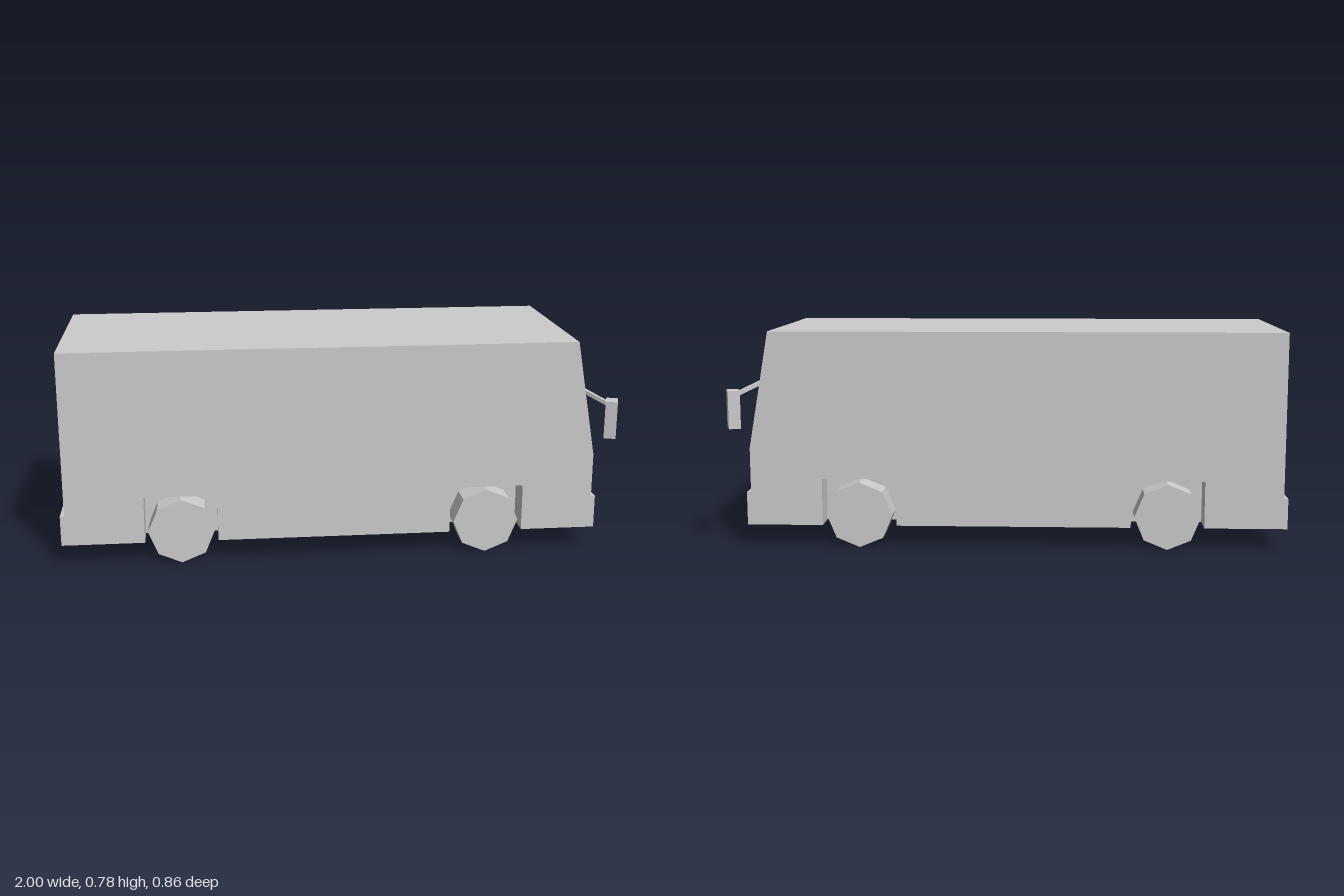
import * as THREE from 'three';

export function createModel() {
  const model = new THREE.Group();
  const material = new THREE.MeshStandardMaterial({ color: 0xcccccc, flatShading: true });

  const add = (name, geometry, x = 0, y = 0, z = 0) => {
    const mesh = new THREE.Mesh(geometry, material);
    mesh.name = name;
    mesh.position.set(x, y, z);
    model.add(mesh);
    return mesh;
  };

  const halfWidth = 0.35, floorY = 0.08, archTop = 0.25, wellDepth = 0.1;
  const arches = [[-0.705, -0.443], [0.4, 0.667]];
  const axles = [-0.574, 0.533];

  // Body side profile: bumper steps, raked windscreen and square wheel arches
  const profile = [[-1, floorY]];
  for (const [a, b] of arches) profile.push([a, floorY], [a, archTop], [b, archTop], [b, floorY]);
  profile.push([0.94, floorY], [0.94, 0.2], [0.925, 0.2], [0.925, 0.36],
    [0.85, 0.78], [-0.985, 0.78], [-0.985, 0.19], [-1, 0.19]);
  const shape = new THREE.Shape(profile.map(([x, y]) => new THREE.Vector2(x, y)));
  const body = new THREE.ExtrudeGeometry(shape, { depth: 2 * halfWidth, bevelEnabled: false });
  add('body', body.translate(0, 0, -halfWidth));

  // Blocks that close the arches between the left and right wheel wells
  for (const [a, b] of arches) {
    add('wheelWellCore',
      new THREE.BoxGeometry(b - a, archTop - floorY, 2 * (halfWidth - wellDepth)),
      (a + b) / 2, (archTop + floorY) / 2, 0);
  }

  for (const side of [-1, 1]) {
    // Eight-sided wheels with a corner pointing straight down
    for (const x of axles) {
      const wheel = new THREE.CylinderGeometry(0.119, 0.119, 0.096, 8).rotateX(Math.PI / 2);
      add('wheel', wheel, x, 0.119, side * 0.303);
    }

    // Wing mirror, turned slightly outwards
    const mirror = add('mirror', new THREE.BoxGeometry(0.042, 0.135, 0.06), 0.967, 0.508, side * 0.393);
    mirror.rotation.y = -side * 0.34;

    // Mirror arm reaching from the windscreen to the housing
    const start = new THREE.Vector3(0.878, 0.598, side * 0.322);
    const end = new THREE.Vector3(0.952, 0.562, side * 0.385);
    const arm = add('mirrorArm', new THREE.BoxGeometry(0.014, 0.014, start.distanceTo(end)));
    arm.position.copy(start).lerp(end, 0.5);
    arm.lookAt(end);
  }

  return model;
}
